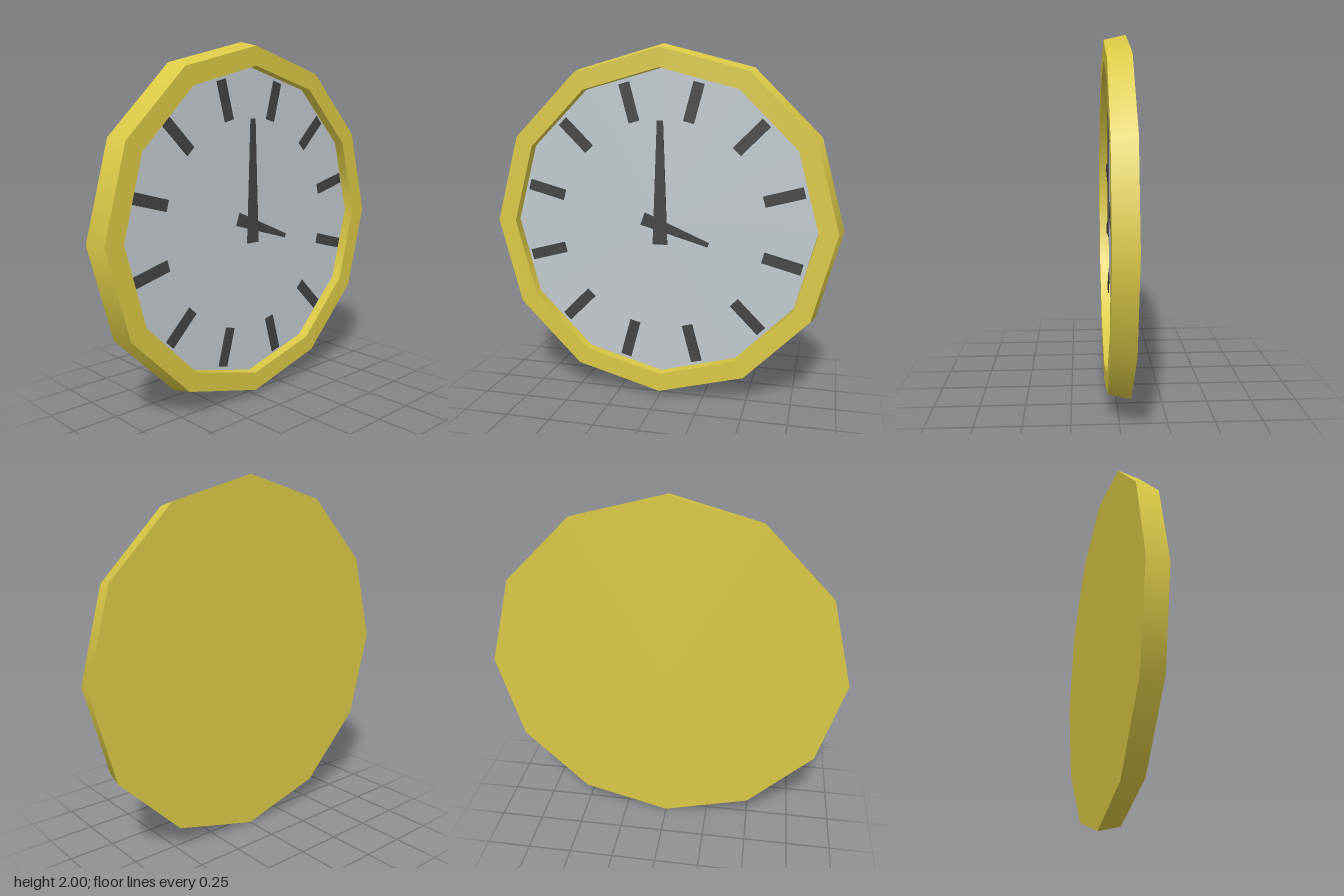
import * as THREE from 'three';

const SIDES = 12;

export function createModel() {
  const clock = new THREE.Group();
  clock.name = 'wallClock';

  const material = (name, color) => {
    const m = new THREE.MeshStandardMaterial({ color });
    m.name = name;
    return m;
  };
  const yellow = material('yellow casing', 0xd9c845);
  const grey = material('pale grey dial', 0xc1c9cd);
  const dark = material('dark grey', 0x444444);

  const body = new THREE.Group();
  body.name = 'body';
  body.position.y = 1;
  clock.add(body);

  const add = (name, geometry, mat, parent = body) => {
    const mesh = new THREE.Mesh(geometry, mat);
    mesh.name = name;
    parent.add(mesh);
    return mesh;
  };

  // Twelve-sided band between two [radius, z] rings; hard edges between bands
  const band = (name, a, b, mat) => {
    const points = [new THREE.Vector2(...a), new THREE.Vector2(...b)];
    add(name, new THREE.LatheGeometry(points, SIDES).rotateX(Math.PI / 2), mat);
  };
  band('backPanel', [0, -0.06], [1, -0.06], yellow);
  band('outerRim', [1, -0.06], [0.973, 0.06], yellow);
  band('frontRim', [0.973, 0.06], [0.867, 0.06], yellow);
  band('innerRim', [0.867, 0.06], [0.867, 0], yellow);
  band('dial', [0.867, 0], [0, 0], grey);

  // Thin tapered plate pointing up, from y0 (width w0) to y1 (width w1)
  const plate = (y0, w0, y1, w1) => {
    const shape = new THREE.Shape([
      new THREE.Vector2(-w0 / 2, y0), new THREE.Vector2(w0 / 2, y0),
      new THREE.Vector2(w1 / 2, y1), new THREE.Vector2(-w1 / 2, y1),
    ]);
    return new THREE.ExtrudeGeometry(shape, { depth: 0.006, bevelEnabled: false });
  };

  // Hour marks, halfway between the corners of the casing
  const marks = new THREE.Group();
  marks.name = 'hourMarks';
  body.add(marks);
  const markGeometry = plate(0.595, 0.062, 0.815, 0.062);
  for (let i = 0; i < SIDES; i++) {
    const mark = add('hourMark', markGeometry, dark, marks);
    mark.position.z = 0.01;
    mark.rotation.z = ((i + 0.5) / SIDES) * Math.PI * 2;
  }

  // Hands
  const hourHand = add('hourHand', plate(-0.11, 0.075, 0.29, 0.025), dark);
  hourHand.position.z = 0.022;
  hourHand.rotation.z = -1.914;
  const minuteHand = add('minuteHand', plate(-0.105, 0.085, 0.585, 0.034), dark);
  minuteHand.position.z = 0.032;

  return clock;
}
